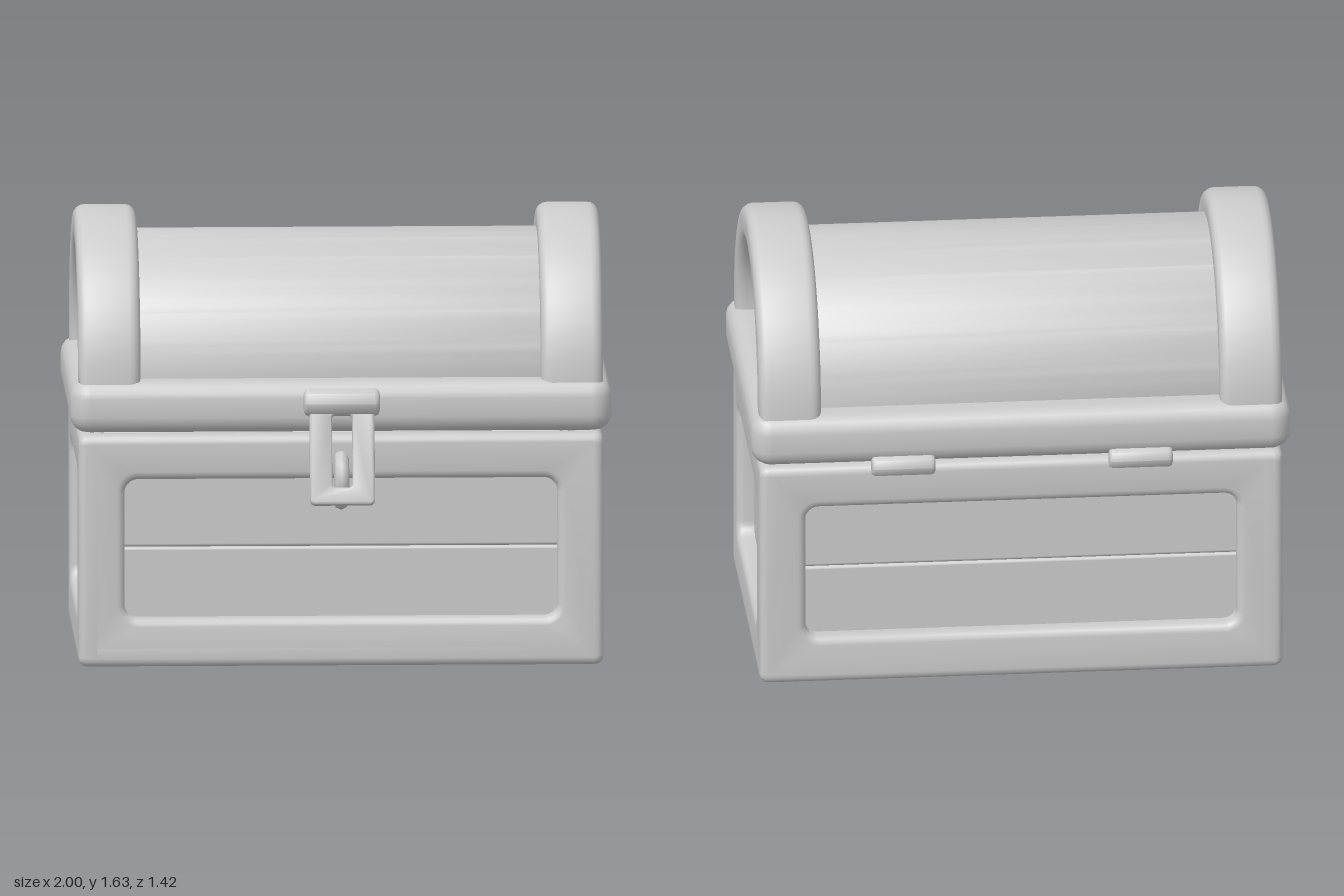
import * as THREE from 'three';
import { toCreasedNormals } from 'three/addons/utils/BufferGeometryUtils.js';
import { RoundedBoxGeometry } from 'three/addons/geometries/RoundedBoxGeometry.js';

const material = new THREE.MeshStandardMaterial({ color: 0xcccccc });
const CZ = -0.065;              // centre line of chest body and lid
const W = 1.94, D = 1.18, H = 0.865; // body size
const LID_Y = 1.05;             // centre of the lid's arc

function add(parent, name, geometry, x = 0, y = 0, z = 0) {
  const mesh = new THREE.Mesh(geometry, material);
  mesh.name = name;
  mesh.position.set(x, y, z);
  parent.add(mesh);
  return mesh;
}

// Rounded rectangle path centred on (0, cy)
function roundRect(w, h, r, cy = 0, Type = THREE.Shape) {
  const p = new Type(), x = w / 2 - r, y = h / 2 - r;
  p.absarc(x, cy + y, r, 0, Math.PI / 2);
  p.absarc(-x, cy + y, r, Math.PI / 2, Math.PI);
  p.absarc(-x, cy - y, r, Math.PI, Math.PI * 1.5);
  p.absarc(x, cy - y, r, Math.PI * 1.5, Math.PI * 2);
  p.closePath();
  return p;
}

// Soft-edged slab whose front face lies on z = 0
function slab(shape, thickness, bevel, curveSegments = 5) {
  const g = new THREE.ExtrudeGeometry(shape, {
    depth: thickness - 2 * bevel, bevelThickness: bevel, bevelSize: bevel,
    bevelOffset: -bevel, bevelSegments: 4, curveSegments,
  });
  g.translate(0, 0, bevel - thickness);
  return toCreasedNormals(g, 0.6);
}

function frameShape(w, h, r, holeW, holeH, holeR, holeY = 0) {
  const s = roundRect(w, h, r);
  s.holes.push(roundRect(holeW, holeH, holeR, holeY, THREE.Path));
  return s;
}

// Barrel with softened ends, lying along x
function barrel(length, r) {
  const h = length / 2, c = r * 0.35;
  const pts = [[0, -h], [r - c, -h], [r - c * 0.3, -h + c * 0.3], [r, -h + c],
    [r, h - c], [r - c * 0.3, h - c * 0.3], [r - c, h], [0, h]];
  const g = new THREE.LatheGeometry(pts.map(([a, b]) => new THREE.Vector2(a, b)), 8);
  g.rotateZ(Math.PI / 2);
  return toCreasedNormals(g, 0.85);
}

// One framed wall with two recessed planks
function wall(name, width) {
  const g = new THREE.Group();
  g.name = name;
  add(g, 'wallFrame', slab(frameShape(width, H, 0.035, width - 0.34, 0.52, 0.05, 0.0075), 0.1, 0.03));
  for (const y of [-0.1325, 0.1475]) {
    add(g, 'wallPlank', new RoundedBoxGeometry(width - 0.24, 0.28, 0.05, 2, 0.012), 0, y, -0.09);
  }
  return g;
}

function createBody() {
  const body = new THREE.Group();
  body.name = 'body';
  const walls = [['frontWall', W, 0], ['leftWall', D, 1], ['backWall', W, 2], ['rightWall', D, 3]];
  for (const [name, width, turn] of walls) {
    const g = wall(name, width);
    const out = (turn % 2 ? W : D) / 2, a = turn * Math.PI / 2;
    g.rotation.y = a;
    g.position.set(Math.sin(a) * out, H / 2, Math.cos(a) * out);
    body.add(g);
  }
  // Underside frame and recessed floor
  const base = add(body, 'bottomFrame', slab(frameShape(W, D, 0.035, W - 0.34, D - 0.34, 0.05), 0.1, 0.03));
  base.rotation.x = Math.PI / 2;
  add(body, 'floor', new THREE.BoxGeometry(W - 0.2, 0.05, D - 0.2), 0, 0.09, 0);
  return body;
}

// Arc band between two radii, with straight legs of the given length
function archShape(rOut, rIn, a0, a1, leg = 0) {
  const s = new THREE.Shape();
  if (leg) s.moveTo(rOut, -leg);
  s.absarc(0, 0, rOut, a0, a1, false);
  if (leg) { s.lineTo(-rOut, -leg); s.lineTo(-rIn, -leg); }
  s.absarc(0, 0, rIn, a1, a0, true);
  if (leg) s.lineTo(rIn, -leg);
  s.closePath();
  return s;
}

function createLid() {
  const lid = new THREE.Group();
  lid.name = 'lid';
  // Thick rounded rim
  const rim = add(lid, 'lidRim', slab(frameShape(2, 1.23, 0.075, 1.58, 0.82, 0.07), 0.19, 0.06), 0, 1.065, 0);
  rim.rotation.x = -Math.PI / 2;

  // Curved planks, one per 30 degrees
  const step = Math.PI / 6;
  for (let i = 0; i < 6; i++) {
    const g = slab(archShape(0.497, 0.44, i * step, (i + 1) * step), 1.74, 0.01, 5);
    const plank = add(lid, 'lidPlank', g, 0.87, LID_Y, 0);
    plank.rotation.y = Math.PI / 2;
  }

  // End arches and the flat planks filling them
  const seam = 0.222, a = Math.asin(seam / 0.5);
  const cap = new THREE.Shape();
  cap.absarc(0, 0, 0.5, a, Math.PI - a, false);
  cap.closePath();
  const archGeo = slab(archShape(0.585, 0.45, 0, Math.PI, 0.05), 0.23, 0.04, 12);
  const capGeo = slab(cap, 0.04, 0.006, 12);
  for (const side of [1, -1]) {
    const end = new THREE.Group();
    end.name = side > 0 ? 'leftLidEnd' : 'rightLidEnd';
    add(end, 'endArch', archGeo, 0, 0, 0.97);
    add(end, 'upperEndPlank', capGeo, 0, 0.003, 0.89);
    add(end, 'lowerEndPlank', new RoundedBoxGeometry(0.96, 0.27, 0.04, 2, 0.006), 0, seam - 0.138, 0.87);
    end.position.y = LID_Y;
    end.rotation.y = side * Math.PI / 2;
    lid.add(end);
  }
  return lid;
}

function createLatch() {
  const latch = new THREE.Group();
  latch.name = 'latch';
  add(latch, 'latchPin', barrel(0.28, 0.052), 0, 0.998, 0.59);
  // Slotted hasp swinging forward
  const shape = roundRect(0.24, 0.38, 0.02, -0.19);
  shape.holes.push(roundRect(0.075, 0.27, 0.015, -0.18, THREE.Path));
  const hasp = add(latch, 'hasp', slab(shape, 0.04, 0.01), 0, 1.0, 0.61);
  hasp.rotation.x = -0.27;
  // Ring set into the front wall
  const ring = add(latch, 'staple', new THREE.TorusGeometry(0.085, 0.028, 8, 20), 0, 0.697, 0.508);
  ring.rotation.y = Math.PI / 2;
  return latch;
}

export function createModel() {
  const chest = new THREE.Group();
  chest.name = 'chest';
  for (const part of [createBody(), createLid()]) {
    part.position.z = CZ;
    chest.add(part);
  }
  chest.add(createLatch());
  for (const side of [1, -1]) {
    add(chest, side > 0 ? 'leftHinge' : 'rightHinge', barrel(0.235, 0.042), side * 0.44, 0.87, -0.665);
  }
  return chest;
}
